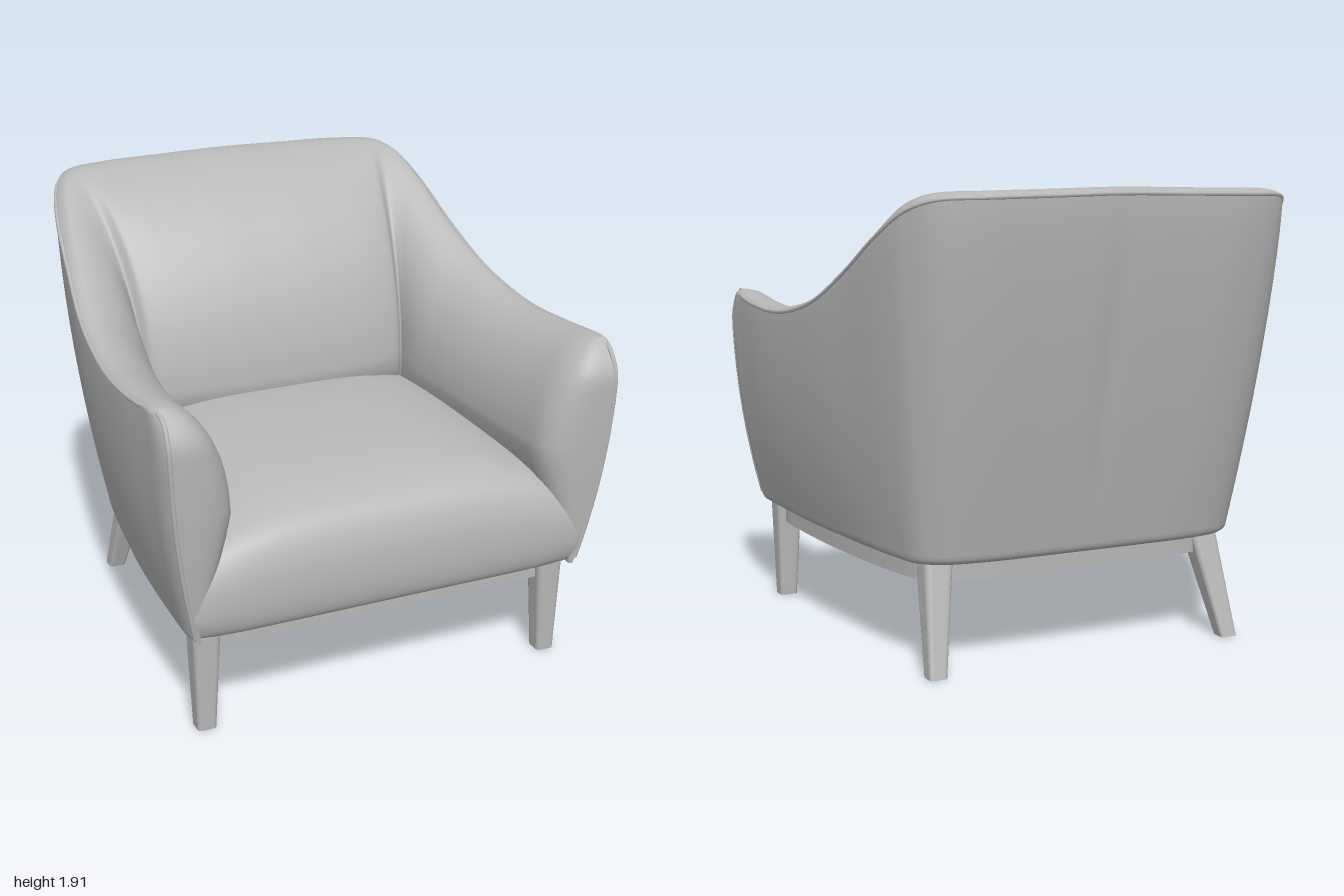
import * as THREE from 'three';
import { RoundedBoxGeometry } from 'three/addons/geometries/RoundedBoxGeometry.js';

const V = (x, y, z) => new THREE.Vector3(x, y, z);
const lerp = THREE.MathUtils.lerp;
const FLOOR = 0.44;   // underside height of the upholstery
const INNER_Y = 0.95; // height where the inner walls are widest

// Left-half stations, front to back:
// outer rim x,y,z | outer foot x,z | inner wall x,z | outside bulge, inside hollow in z, in x
const STATIONS = [
  [0.985, 1.40, 0.80, 0.875, 0.80, 0.67, 0.80, 2.1, 2.1, 1.1],
  [0.992, 1.375, 0.55, 0.87, 0.55, 0.66, 0.55, 2.1, 2.1, 1.1],
  [0.98, 1.37, 0.25, 0.855, 0.25, 0.645, 0.25, 2.1, 2.1, 1.1],
  [0.955, 1.44, -0.10, 0.825, -0.05, 0.63, 0.0, 2.0, 2.1, 1.1],
  [0.92, 1.575, -0.38, 0.795, -0.29, 0.62, -0.15, 1.8, 2.1, 1.0],
  [0.885, 1.725, -0.63, 0.76, -0.48, 0.62, -0.24, 1.6, 2.1, 0.9],
  [0.835, 1.825, -0.80, 0.72, -0.615, 0.62, -0.27, 1.4, 1.9, 0.78],
  [0.755, 1.867, -0.907, 0.635, -0.685, 0.59, -0.245, 1.3, 1.4, 0.8],
  [0.58, 1.875, -0.965, 0.47, -0.718, 0.47, -0.215, 1.3, 1.2, 1.0],
  [0.30, 1.88, -0.975, 0.25, -0.725, 0.25, -0.195, 1.3, 1.15, 1.1],
  [0, 1.885, -0.975, 0, -0.725, 0, -0.19, 1.3, 1.15, 1.1],
];

// Smooth curve through one point per station, mirrored to the right half
function mirroredCurve(pick, flip = -1) {
  const left = STATIONS.map(pick);
  const right = left.slice(0, -1).reverse().map((p) => V(flip * p.x, p.y, p.z));
  return new THREE.CatmullRomCurve3([...left, ...right]);
}
const rimCurve = mirroredCurve((s) => V(s[0], s[1], s[2]));
const footCurve = mirroredCurve((s) => V(s[3], FLOOR, s[4]));
const innerCurve = mirroredCurve((s) => V(s[5], INNER_Y, s[6]));
const shapeCurve = mirroredCurve((s) => V(s[7], s[8], s[9]), 1);

// Surface from rows of points
function gridGeometry(rows) {
  const n = rows[0].length, index = [];
  for (let i = 0; i < rows.length - 1; i++) {
    for (let j = 0; j < n - 1; j++) {
      const a = i * n + j, b = a + n;
      index.push(a, a + 1, b, b, a + 1, b + 1);
    }
  }
  const g = new THREE.BufferGeometry().setFromPoints(rows.flat());
  g.setIndex(index);
  g.computeVertexNormals();
  return g;
}

// Closed wall section at u: up the outside, over the rim, down the inside, back to the foot
function wallSection(u) {
  const T = rimCurve.getPoint(u), B = footCurve.getPoint(u), I = innerCurve.getPoint(u);
  const { x: bulge, y: hollowZ, z: hollowX } = shapeCurve.getPoint(u);
  const pts = [];
  const inward = V(I.x - T.x, 0, I.z - T.z).normalize();
  const crown = lerp(0.05, 0.08, THREE.MathUtils.smoothstep(T.y, 1.4, 1.85));
  // rounded foot
  for (let j = 0; j < 4; j++) {
    const a = (j / 4) * Math.PI / 2;
    pts.push(B.clone().addScaledVector(inward, 0.04 * (1 - Math.sin(a))).setY(FLOOR + 0.04 * (1 - Math.cos(a))));
  }
  // outside, with a shallow seam groove down the middle of the back
  const groove = T.z < 0 ? 0.014 * Math.exp(-((T.x / 0.04) ** 2)) : 0;
  for (let j = 0; j <= 12; j++) {
    const t = j / 12, g = 1 - Math.pow(1 - t, bulge);
    pts.push(V(lerp(B.x, T.x, g), lerp(FLOOR + 0.04, T.y, t),
      lerp(B.z, T.z, g) + groove * Math.sin(Math.PI * t)));
  }
  // rim
  for (let j = 1; j <= 4; j++) {
    const a = (j / 4) * Math.PI / 2;
    pts.push(T.clone().addScaledVector(inward, crown * (1 - Math.cos(a))).setY(T.y + 0.027 * Math.sin(a)));
  }
  // inside
  const R = pts[pts.length - 1];
  for (let j = 1; j <= 20; j++) {
    const a = (j / 20) * Math.PI / 2;
    pts.push(V(
      lerp(R.x, I.x, Math.pow(Math.sin(a), hollowX)),
      lerp(INNER_Y, R.y, Math.cos(a)),
      lerp(R.z, I.z, Math.pow(Math.sin(a), hollowZ))));
  }
  for (let j = 1; j <= 6; j++) {
    const t = j / 6, s = Math.pow(t, 1.2);
    pts.push(V(lerp(I.x, pts[0].x, s), lerp(INNER_Y, pts[0].y, t), lerp(I.z, pts[0].z, s)));
  }
  return pts;
}

// Outer front edge of an arm at height y: distance from the middle, and forward reach
function armEdge(y) {
  const [tx, ty, , bx] = STATIONS[0];
  const t = Math.max(0, (y - FLOOR) / (ty - FLOOR));
  const round = Math.max(0, (t - 0.85) / 0.15);
  return {
    x: lerp(bx, tx, 1 - Math.pow(Math.max(0, 1 - t), 2.1)),
    z: 0.975 - 0.065 * (1 - t) ** 2 - 0.075 * round ** 2.2,
  };
}

// Rounded arm front: sections narrow to the outer edge while moving forward
function armCap(section, side) {
  const rings = [];
  for (let k = 1; k <= 12; k++) {
    const a = (k / 12) * Math.PI / 2;
    const forward = Math.pow(Math.sin(a), 0.85);
    const width = k === 12 ? 0 : Math.pow(Math.cos(a), 0.7);
    rings.push(section.map((p) => {
      const e = armEdge(p.y);
      const x = lerp(e.x, Math.abs(p.x), width) - 0.03 * forward ** 3;
      return V(side * x, p.y, lerp(p.z, e.z, forward));
    }));
  }
  return rings;
}

function shellGeometry() {
  const rows = [];
  for (let i = 0; i <= 160; i++) rows.push(wallSection(i / 160));
  return gridGeometry([
    ...armCap(rows[0], 1).reverse(), ...rows, ...armCap(rows[160], -1)]);
}

// Piping up one arm front, around the rim and down the other
function pipingGeometry() {
  const front = [];
  for (let i = 0; i <= 10; i++) {
    const y = lerp(0.47, 1.4, i / 10), e = armEdge(y);
    front.push(V(e.x - 0.03, y, e.z - 0.004));
  }
  const rim = [];
  for (let i = 1; i <= 60; i++) {
    const p = rimCurve.getPoint(i / 61);
    rim.push(V(p.x * 0.995, p.y + 0.004, p.z * 0.995));
  }
  const other = front.slice().reverse().map((p) => V(-p.x, p.y, p.z));
  return new THREE.TubeGeometry(
    new THREE.CatmullRomCurve3([...front, ...rim, ...other]), 260, 0.01, 8);
}

// Crowned seat cushion with a rolled front that runs out to the arm piping
function seatGeometry() {
  const profile = new THREE.CatmullRomCurve3([
    [0.96, -0.4], [0.985, -0.1], [0.985, 0.25], [0.965, 0.54], [0.925, 0.76], [0.865, 0.875],
    [0.77, 0.927], [0.65, 0.947], [0.52, 0.94], [0.46, 0.915], [0.44, 0.86],
  ].map(([y, z]) => V(0, y, z)));
  const rows = [];
  for (let i = 0; i <= 48; i++) {
    const p = profile.getPoint(i / 48), row = [];
    const spread = lerp(0.72, 0.87, THREE.MathUtils.smoothstep(i / 48, 0.2, 0.7));
    const half = Math.min(spread, armEdge(p.y).x - 0.035);
    for (let j = 0; j <= 32; j++) {
      const f = j / 16 - 1;
      const sag = 0.11 * Math.abs(f) ** 3.5 * Math.max(0, (p.y - FLOOR) / 0.5);
      row.push(V(f * half, p.y - sag, p.z - 0.025 * f ** 8));
    }
    rows.push(row);
  }
  return gridGeometry(rows);
}

// Plan outline following the foot of the upholstery, closed by a straight front edge
function planOutline(sx, sz, frontX, frontZ) {
  return [
    new THREE.Vector2(frontX, -frontZ),
    ...footCurve.getPoints(60).map((p) => new THREE.Vector2(p.x * sx, -p.z * sz)),
    new THREE.Vector2(-frontX, -frontZ),
  ];
}

// Tapered leg leaning from a top centre to a foot centre
function legGeometry(top, foot, topSize, footSize) {
  const g = new RoundedBoxGeometry(1, 1.44, 1, 5, 0.22);
  const pos = g.attributes.position;
  for (let i = 0; i < pos.count; i++) {
    const t = THREE.MathUtils.clamp(pos.getY(i) + 0.5, 0, 1);
    const size = lerp(footSize, topSize, t);
    pos.setXYZ(i,
      lerp(foot.x, top.x, t) + pos.getX(i) * size,
      lerp(foot.y, top.y, t),
      lerp(foot.z, top.z, t) + pos.getZ(i) * size);
  }
  g.computeVertexNormals();
  return g;
}

export function createModel() {
  const model = new THREE.Group();
  model.name = 'armchair';
  const grey = new THREE.MeshStandardMaterial({ color: 0xb8b8b8, side: THREE.DoubleSide });
  grey.name = 'plain grey';
  const add = (name, geometry) => {
    const mesh = new THREE.Mesh(geometry, grey);
    mesh.name = name;
    model.add(mesh);
    return mesh;
  };
  // Upholstery
  add('armsAndBack', shellGeometry());
  add('rimPiping', pipingGeometry());
  add('seatCushion', seatGeometry());
  // Flat underside
  const base = add('underside', new THREE.ShapeGeometry(
    new THREE.Shape(planOutline(0.96, 0.96, 0.82, 0.88))));
  base.rotation.x = -Math.PI / 2;
  base.position.y = 0.442;
  // Base frame with rounded back corners
  const frame = new THREE.Shape(planOutline(0.92, 0.86, 0.79, 0.815));
  frame.holes.push(new THREE.Path(planOutline(0.85, 0.78, 0.73, 0.765)));
  const rails = add('baseFrame', new THREE.ExtrudeGeometry(frame, { depth: 0.09, bevelEnabled: false }));
  rails.rotation.x = -Math.PI / 2;
  rails.position.y = 0.355;
  // Legs
  for (const [side, word] of [[1, 'left'], [-1, 'right']]) {
    add(word + 'FrontLeg', legGeometry(V(side * 0.778, 0.45, 0.795), V(side * 0.783, 0, 0.8), 0.118, 0.08));
    add(word + 'RearLeg', legGeometry(V(side * 0.615, 0.45, -0.545), V(side * 0.675, 0, -0.69), 0.125, 0.076));
  }
  return model;
}
